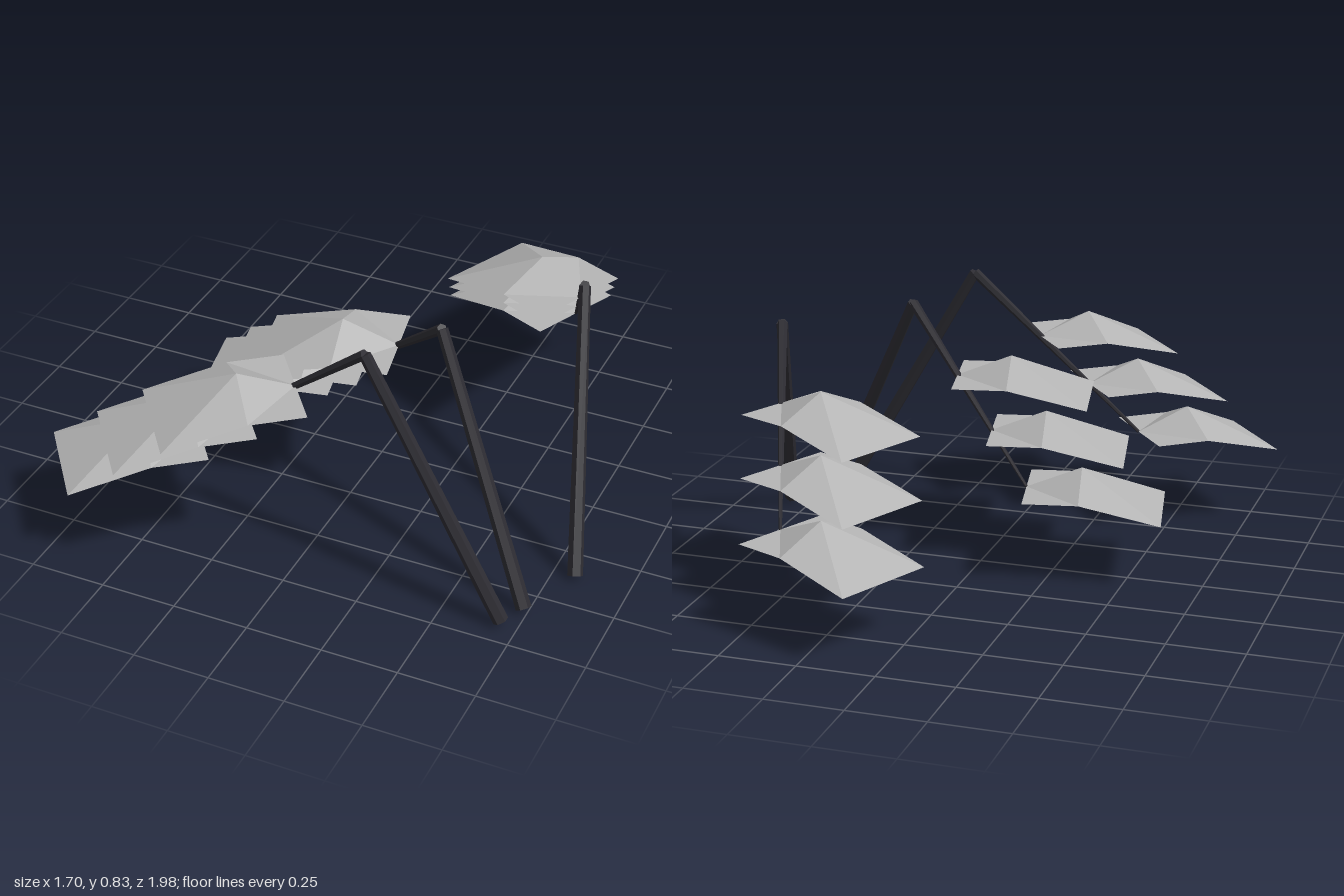
import * as THREE from 'three';

const V = (x, y, z) => new THREE.Vector3(x, y, z);

// tapered hexagonal rod between two points
function rod(a, b, rA, rB, material, name) {
  const dir = b.clone().sub(a);
  const geo = new THREE.CylinderGeometry(rB, rA, dir.length(), 6);
  const mesh = new THREE.Mesh(geo, material);
  mesh.position.copy(a).add(b).multiplyScalar(0.5);
  mesh.quaternion.setFromUnitVectors(V(0, 1, 0), dir.normalize());
  mesh.name = name;
  return mesh;
}

// folded leaf: root at the origin, growing along +x, ridge raised at the middle row
function leafGeometry() {
  const half = 0.174;
  const rows = [[0, 0, 0], [0.18, 0, 0.072], [0.443, -0.06, -0.06]]; // distance, edge height, ridge height
  const points = [];
  for (const [x, edge, ridge] of rows) points.push(x, edge, half, x, ridge, 0, x, edge, -half);
  const geo = new THREE.BufferGeometry();
  geo.setAttribute('position', new THREE.Float32BufferAttribute(points, 3));
  geo.setIndex([
    0, 3, 1, 3, 4, 1, 1, 4, 5, 1, 5, 2, // root half
    3, 6, 4, 6, 7, 4, 4, 7, 8, 4, 8, 5, // outer half
  ]);
  const flat = geo.toNonIndexed();
  flat.computeVertexNormals();
  return flat;
}

export function createModel() {
  const model = new THREE.Group();
  model.name = 'leafyStalks';

  const stalkDark = new THREE.MeshStandardMaterial({ color: 0x2c2b31, flatShading: true });
  stalkDark.name = 'stalk charcoal';
  const leafGrey = new THREE.MeshStandardMaterial({ color: 0xb4b4b4, flatShading: true, side: THREE.DoubleSide });
  leafGrey.name = 'leaf grey';

  const leafGeo = leafGeometry();

  // base, bend and tip of each stalk, and the ground direction its leaves point in
  const stalks = [
    { base: V(0.825, 0.006, 0.37), bend: V(0.656, 0.772, -0.075), tip: V(0.437, 0.28, -0.65), out: [-0.915, -0.404] },
    { base: V(0.738, 0.01, 0.587), bend: V(0.345, 0.765, 0.325), tip: V(-0.163, 0.278, -0.022), out: [-0.98, 0.2] },
    { base: V(0.698, 0.012, 0.674), bend: V(0.22, 0.812, 0.613), tip: V(-0.394, 0.318, 0.534), out: [-0.79, 0.613] },
  ];

  stalks.forEach(({ base, bend, tip, out }, i) => {
    const stalk = new THREE.Group();
    stalk.name = `stalk${i + 1}`;
    stalk.add(rod(base, bend, 0.025, 0.019, stalkDark, 'lowerStem'));
    stalk.add(rod(bend, tip, 0.017, 0.005, stalkDark, 'upperStem'));

    // three leaves spaced up the drooping stem
    for (let k = 0; k < 3; k++) {
      const leaf = new THREE.Mesh(leafGeo, leafGrey);
      leaf.name = `leaf${k + 1}`;
      leaf.position.lerpVectors(tip, bend, 0.3 * k);
      leaf.rotation.y = Math.atan2(-out[1], out[0]);
      stalk.add(leaf);
    }
    model.add(stalk);
  });

  return model;
}
